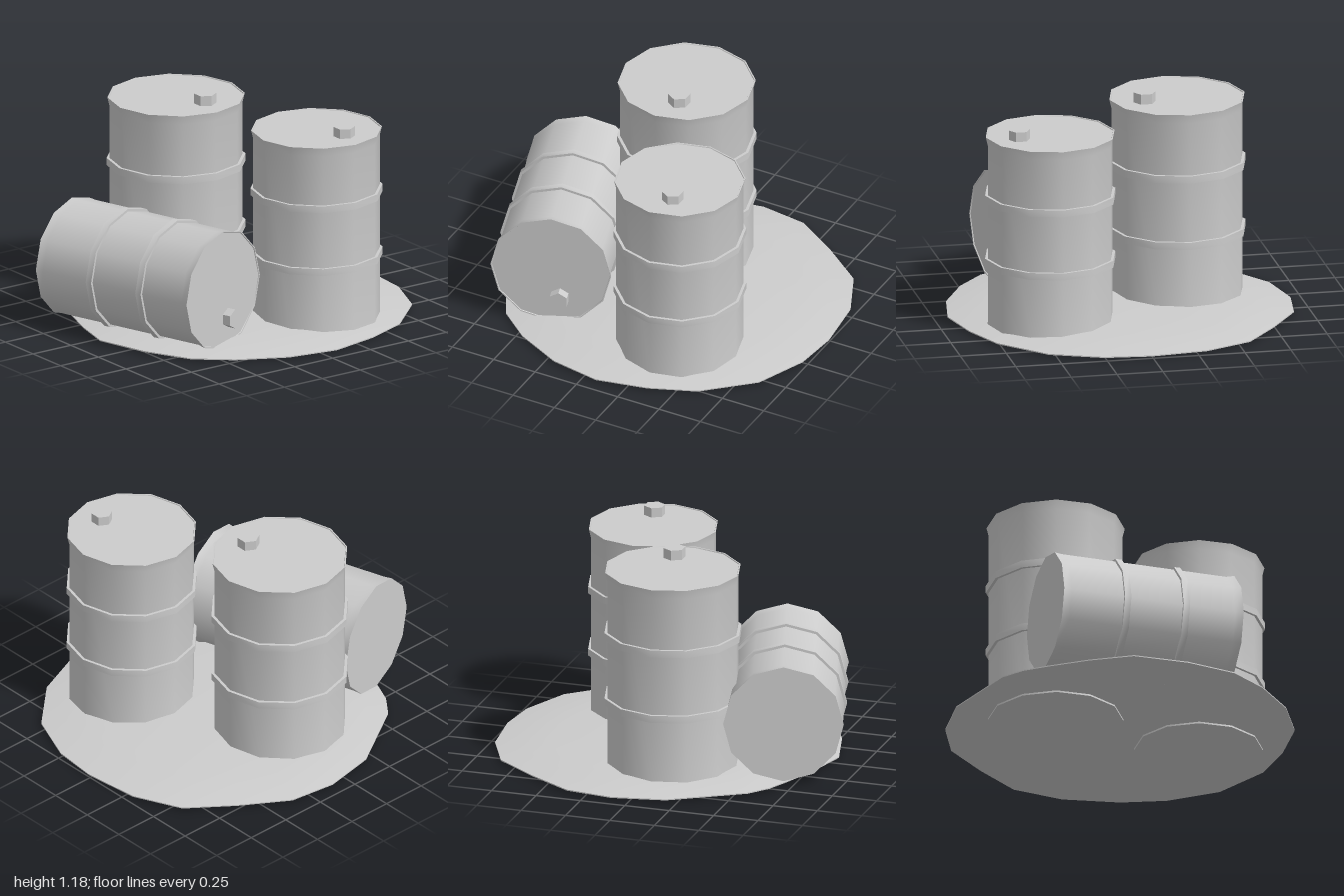
import * as THREE from 'three';
import { toCreasedNormals } from 'three/addons/utils/BufferGeometryUtils.js';

const grey = new THREE.MeshStandardMaterial({ color: 0xcccccc });
grey.name = 'plain grey';

function part(name, geometry, parent) {
  const mesh = new THREE.Mesh(geometry, grey);
  mesh.name = name;
  parent.add(mesh);
  return mesh;
}

// Twelve-sided drum standing on y = 0, 1.13 tall
function makeBarrel(name) {
  const barrel = new THREE.Group();
  barrel.name = name;
  const profile = [
    [0, 0], [0.362, 0], [0.357, 0.05], [0.357, 1.08],
    [0.369, 1.13], [0.362, 1.13], [0.36, 1.125], [0, 1.125],
  ].map(([r, y]) => new THREE.Vector2(r, y));
  part('drumBody', toCreasedNormals(new THREE.LatheGeometry(profile, 12), 0.7), barrel);

  // Raised hoops
  for (const y of [0.4, 0.77]) {
    const hoop = [[0.35, -0.02], [0.373, -0.02], [0.373, 0.02], [0.35, 0.02]]
      .map(([r, h]) => new THREE.Vector2(r, y + h));
    part('hoop', toCreasedNormals(new THREE.LatheGeometry(hoop, 12), 0.7), barrel);
  }

  // Hexagonal cap on the lid
  const cap = part('fillerCap',
    toCreasedNormals(new THREE.CylinderGeometry(0.06, 0.06, 0.06, 6), 0.5), barrel);
  cap.rotation.y = Math.PI / 2;
  cap.position.set(0.188, 1.15, -0.055);
  return barrel;
}

// Low irregular mound with a flat underside
function makeMound() {
  const outline = [
    [0.01, -1], [0.26, -0.975], [0.54, -0.86], [0.77, -0.61], [0.87, -0.36],
    [0.93, -0.08], [0.88, 0.2], [0.75, 0.46], [0.6, 0.64], [0.35, 0.77],
    [0.06, 0.85], [-0.18, 0.79], [-0.4, 0.71], [-0.53, 0.655], [-0.64, 0.57],
    [-0.88, 0.19], [-0.935, -0.1], [-0.9, -0.36], [-0.74, -0.61],
    [-0.56, -0.845], [-0.3, -0.965],
  ];
  const n = outline.length;
  const rings = [[0, 0.01], [1, 0.01], [1, 0.016], [0.87, 0.035], [0.7, 0.05], [0.4, 0.06], [0, 0.068]];
  const positions = [];
  const index = [];
  rings.forEach(([s, y], r) => {
    for (const [x, z] of outline) positions.push(x * s, y, z * s);
    if (r === 0) return;
    for (let i = 0; i < n; i++) {
      const a = (r - 1) * n + i, b = (r - 1) * n + (i + 1) % n;
      const c = a + n, d = b + n;
      if (rings[r - 1][0] > 0) index.push(a, c, b);
      if (s > 0) index.push(b, c, d);
    }
  });
  const geometry = new THREE.BufferGeometry();
  geometry.setAttribute('position', new THREE.Float32BufferAttribute(positions, 3));
  geometry.setIndex(index);
  return toCreasedNormals(geometry, 0.7);
}

export function createModel() {
  const model = new THREE.Group();
  model.name = 'barrelCluster';
  part('groundMound', makeMound(), model);

  const tall = makeBarrel('tallBarrel');
  tall.position.set(-0.348, 0, 0.052);

  const short = makeBarrel('shortBarrel');
  short.scale.setScalar(0.952);
  short.position.set(0.42, 0, -0.316);

  // Barrel lying on its side, lid toward +x
  const fallen = makeBarrel('fallenBarrel');
  fallen.scale.setScalar(0.89);
  fallen.rotation.set(0, 0.303, -Math.PI / 2, 'YXZ');
  fallen.position.set(-0.41, 0.34, 0.695);

  model.add(tall, short, fallen);
  return model;
}
